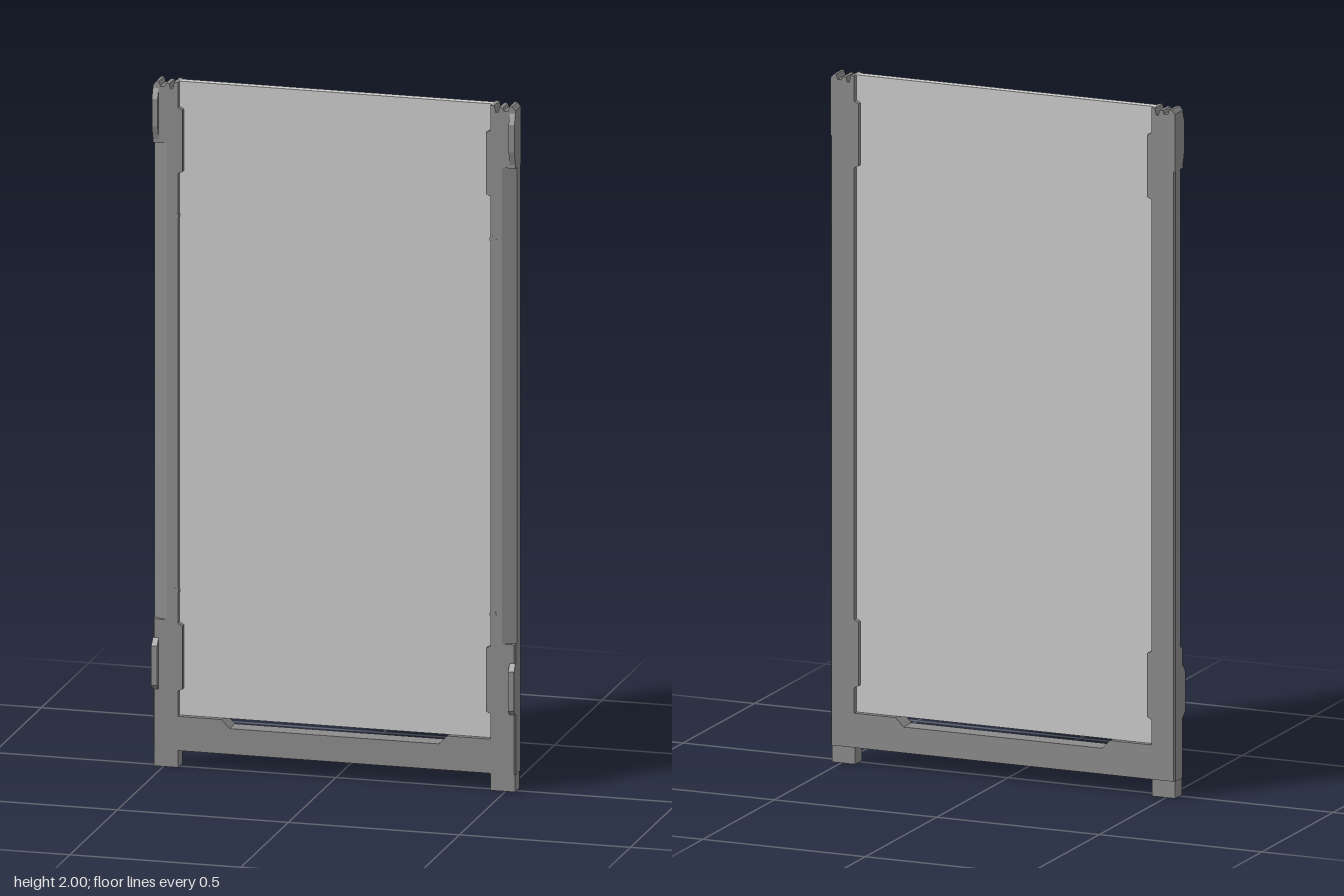
import * as THREE from 'three';

const BACK = -0.038, FRONT = 0.018;          // frame thickness
const SLOT_BACK = -0.022, SLOT_FRONT = 0.002; // panel thickness

export function createModel() {
  const model = new THREE.Group();
  const frameMat = new THREE.MeshStandardMaterial({ color: 0x8c8c8c, flatShading: true });
  const panelMat = new THREE.MeshStandardMaterial({ color: 0xcccccc, flatShading: true });

  const add = (name, geo, mat = frameMat) => {
    const mesh = new THREE.Mesh(geo, mat);
    mesh.name = name;
    model.add(mesh);
    return mesh;
  };
  const extrude = (pts, depth) => new THREE.ExtrudeGeometry(
    new THREE.Shape(pts.map(([x, y]) => new THREE.Vector2(x, y))), { depth, bevelEnabled: false });
  // outline in x, y
  const slab = (pts, z0, z1) => extrude(pts, z1 - z0).translate(0, 0, z0);
  // cross-section in x, z running along y
  const column = (pts, y0, y1) =>
    extrude(pts.map(([x, z]) => [x, -z]), y1 - y0).rotateX(-Math.PI / 2).translate(0, y0, 0);
  // side profile in z, y with its thickness along x
  const sideProfile = (pts, x0, x1) => extrude(pts, x1 - x0).rotateY(-Math.PI / 2).translate(x1, 0, 0);
  const box = (x0, x1, y0, y1, z0, z1) => new THREE.BoxGeometry(x1 - x0, y1 - y0, z1 - z0)
    .translate((x0 + x1) / 2, (y0 + y1) / 2, (z0 + z1) / 2);

  // flat sheet held by the frame
  add('panel', box(-0.458, 0.458, 0.15, 2, SLOT_BACK, SLOT_FRONT), panelMat);

  // bottom bar with a shallow finger opening
  add('bottomBar', slab([
    [-0.46, 0.05], [0.46, 0.05], [0.46, 0.15], [0.33, 0.15],
    [0.305, 0.125], [-0.305, 0.125], [-0.33, 0.15], [-0.46, 0.15],
  ], BACK, FRONT));

  for (const s of [1, -1]) {
    const side = s > 0 ? 'left' : 'right';
    const m = (pts) => pts.map(([x, y]) => [s * x, y]);
    const span = (a, b) => (s > 0 ? [a, b] : [-b, -a]);

    // rail: square lower end, chamfered middle, notched upper end
    add(side + 'RailLower', column(m([
      [0.457, BACK], [0.526, BACK], [0.53, BACK + 0.005],
      [0.53, FRONT - 0.005], [0.526, FRONT], [0.457, FRONT],
    ]), 0.05, 0.43));
    add(side + 'RailMiddle', column(m([
      [0.457, BACK], [0.526, BACK], [0.53, BACK + 0.005],
      [0.53, 0], [0.49, FRONT], [0.457, FRONT],
    ]), 0.43, 1.82));
    add(side + 'RailUpper', slab(m([
      [0.457, 1.82], [0.53, 1.82], [0.53, 1.988], [0.52, 2], [0.512, 2],
      [0.508, 1.985], [0.496, 1.985], [0.492, 1.995], [0.482, 1.995],
      [0.479, 1.98], [0.472, 1.98], [0.468, 2], [0.457, 2],
    ]), BACK, FRONT));

    // retaining tabs on both faces of the panel
    for (const [y0, y1] of [[0.23, 0.415], [1.74, 1.92]]) {
      const tab = m([[0.46, y0 - 0.008], [0.46, y1 + 0.008], [0.444, y1], [0.444, y0]]);
      add(side + 'FrontTab', slab(tab, SLOT_FRONT, FRONT));
      add(side + 'BackTab', slab(tab, BACK, SLOT_BACK));
    }

    // raised catches along the outer front edge
    const [cx0, cx1] = span(0.513, 0.53);
    add(side + 'UpperCatch', sideProfile([
      [0, 1.83], [FRONT, 1.83], [0.03, 1.87], [0.03, 1.95], [FRONT, 1.98], [0, 1.98],
    ], cx0, cx1));
    add(side + 'LowerCatch', sideProfile([
      [0, 0.225], [FRONT, 0.225], [0.036, 0.24], [0.036, 0.355], [FRONT, 0.375], [0, 0.375],
    ], cx0, cx1));

    // small pins on the inner edge
    for (const y of [0.515, 1.61]) {
      const pin = add(side + 'Pin', new THREE.CylinderGeometry(0.01, 0.01, 0.016, 12));
      pin.rotation.x = Math.PI / 2;
      pin.position.set(s * 0.464, y, 0.011);
    }

    // foot
    const [fx0, fx1] = span(0.457, 0.528);
    add(side + 'Foot', box(fx0, fx1, 0, 0.05, -0.032, 0.016));
  }
  return model;
}
